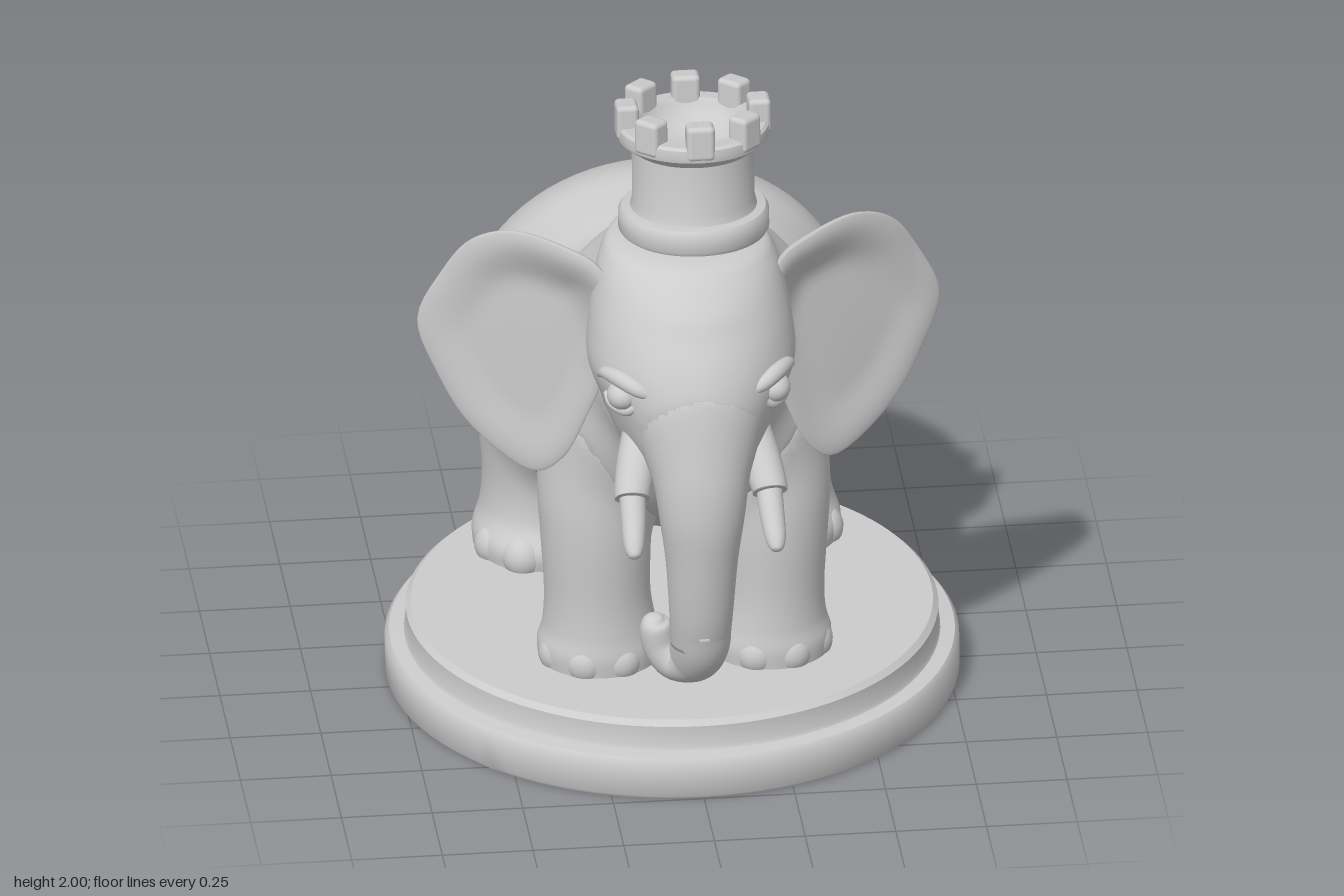
import * as THREE from 'three';
import { mergeVertices, toCreasedNormals } from 'three/addons/utils/BufferGeometryUtils.js';
import { RoundedBoxGeometry } from 'three/addons/geometries/RoundedBoxGeometry.js';

const grey = new THREE.MeshStandardMaterial({ color: 0xcccccc });
const V = (x, y, z) => new THREE.Vector3(x, y, z);
const Y = V(0, 1, 0), Z = V(0, 0, 1);

function add(parent, name, geometry, x = 0, y = 0, z = 0) {
  const m = new THREE.Mesh(geometry, grey);
  m.name = name;
  m.position.set(x, y, z);
  parent.add(m);
  return m;
}

// Smooth centre line and half sizes through rows [x, y, z, halfWidth, halfDepth]
const curves = rows => [
  new THREE.CatmullRomCurve3(rows.map(r => V(r[0], r[1], r[2])), false, 'catmullrom'),
  new THREE.CatmullRomCurve3(rows.map(r => V(r[3], r[4] ?? r[3], 0)), false, 'catmullrom'),
];

// Skin over elliptical rings; with an axis all rings stay parallel, otherwise they follow the path
function loft(rows, axis, steps = rows.length * 5, sides = 40) {
  const [path, size] = curves(rows);
  const pos = [], index = [];
  const S = V(1, 0, 0);
  for (let i = 0; i <= steps; i++) {
    const c = path.getPoint(i / steps), r = size.getPoint(i / steps);
    const T = axis || path.getTangent(i / steps);
    S.addScaledVector(T, -S.dot(T)).normalize();
    const U = T.clone().cross(S);
    for (let j = 0; j < sides; j++) {
      const a = (j / sides) * Math.PI * 2;
      const p = c.clone().addScaledVector(S, Math.cos(a) * r.x).addScaledVector(U, Math.sin(a) * r.y);
      pos.push(p.x, p.y, p.z);
      if (i < steps) {
        const a0 = i * sides + j, b0 = i * sides + (j + 1) % sides;
        index.push(a0, b0, a0 + sides, b0, b0 + sides, a0 + sides);
      }
    }
  }
  // end caps
  const first = pos.length / 3, last = steps * sides;
  pos.push(...path.getPoint(0).toArray(), ...path.getPoint(1).toArray());
  for (let j = 0; j < sides; j++) {
    const n = (j + 1) % sides;
    index.push(first, n, j, first + 1, last + j, last + n);
  }
  const g = new THREE.BufferGeometry();
  g.setAttribute('position', new THREE.Float32BufferAttribute(pos, 3));
  g.setIndex(index);
  g.computeVertexNormals();
  return g;
}

// Approximate signed distance to a loft with parallel rings
function distanceTo(rows, axis) {
  const [path, size] = curves(rows);
  const [along, across] = axis === Z ? ['z', 'y'] : ['y', 'z'];
  const n = 80, C = path.getPoints(n), R = size.getPoints(n);
  return p => {
    const s = THREE.MathUtils.clamp(p[along], C[0][along], C[n][along]);
    let i = 0;
    while (i < n - 1 && C[i + 1][along] < s) i++;
    const t = (s - C[i][along]) / (C[i + 1][along] - C[i][along]);
    const c = C[i].clone().lerp(C[i + 1], t), r = R[i].clone().lerp(R[i + 1], t);
    const u = p.x - c.x, v = p[across] - c[across], g = Math.hypot(u / r.x, v / r.y);
    const d = (g - 1) * g / (Math.hypot(u / r.x ** 2, v / r.y ** 2) + 1e-6);
    return s === p[along] ? d : Math.hypot(Math.max(d, 0), p[along] - s);
  };
}

// Fillet the joints: swell each part where it comes near another one
function blend(parts, k) {
  for (const part of parts) {
    const P = part.geometry.attributes.position, N = part.geometry.attributes.normal;
    for (let i = 0; i < P.count; i++) {
      const p = V(0, 0, 0).fromBufferAttribute(P, i);
      let push = 0;
      for (const other of parts) {
        if (other !== part) push = Math.max(push, k / 4 * Math.max(0, 1 - Math.abs(other.distance(p)) / k) ** 2);
      }
      p.addScaledVector(V(0, 0, 0).fromBufferAttribute(N, i), push);
      P.setXYZ(i, p.x, p.y, p.z);
    }
    part.geometry.computeVertexNormals();
  }
}

const lathe = (pts, sides) =>
  toCreasedNormals(new THREE.LatheGeometry(pts.map(p => new THREE.Vector2(p[0], p[1])), sides), 0.7);

// Ear: a sphere flattened into the outline, dished in front, with a rolled rim and a thick root
function earGeometry() {
  const outline = new THREE.CatmullRomCurve3([
    [.72, 1.285], [.655, 1.445], [.58, 1.56], [.47, 1.615], [.34, 1.6], [.24, 1.55], [.2, 1.4],
    [.22, 1.23], [.28, 1.05], [.34, .92], [.43, .87], [.58, .98], [.67, 1.13],
  ].map(p => V(p[0], p[1], 0)), true, 'catmullrom');
  const { clamp, smoothstep } = THREE.MathUtils;
  let g = new THREE.SphereGeometry(1, 64, 40).rotateX(Math.PI / 2);
  g.deleteAttribute('uv');
  g.deleteAttribute('normal');
  g = mergeVertices(g, 1e-4);
  const P = g.attributes.position;
  for (let i = 0; i < P.count; i++) {
    const dx = P.getX(i), dy = P.getY(i), dz = P.getZ(i);
    const r = Math.min(1, Math.hypot(dx, dy)), edge = Math.sqrt(1 - r * r);
    const o = outline.getPoint(((Math.atan2(dy, dx) / (2 * Math.PI)) + 1) % 1);
    const x = .42 + (o.x - .42) * r, y = 1.25 + (o.y - 1.25) * r;
    const root = clamp((.65 - x) / .4, 0, 1);
    const roll = (.02 + .07 * root * clamp((y - 1.2) / .3, 0, 1)) * smoothstep(r, .5, .95);
    P.setXYZ(i, x, y, .475 - .46 * (x - .25) + roll + edge * (dz >= 0 ? .02 : -.04 - .12 * root));
  }
  g.computeVertexNormals();
  return g;
}

export function createModel() {
  const model = new THREE.Group();
  model.name = 'elephantOnBase';
  const flesh = [];
  const addFlesh = (parent, name, rows, axis, steps, sides) => {
    const geometry = loft(rows, axis, steps, sides);
    add(parent, name, geometry);
    flesh.push({ geometry, distance: distanceTo(rows, axis) });
  };

  // Stepped round base, hollow underneath
  add(model, 'base', lathe([
    [0, .195], [.71, .195], [.71, .125], [.755, .1], [.755, 0], [.78, 0], [.787, .01], [.787, .105], [.775, .12],
    [.735, .125], [.73, .135], [.73, .195], [.715, .21], [0, .212],
  ], 96), 0, 0, -.035);

  // Body from rump to throat
  addFlesh(model, 'body', [
    [0, .96, -.86, .04, .07], [0, .93, -.8, .13, .18], [0, .885, -.7, .31, .3], [0, .885, -.6, .44, .385],
    [0, .9, -.48, .512, .44], [0, .905, -.35, .53, .472], [0, .89, -.2, .505, .48], [0, .9, -.05, .455, .468],
    [0, .97, .08, .422, .472], [0, 1.075, .2, .4, .485], [0, 1.13, .3, .37, .48], [0, 1.165, .4, .31, .44],
    [0, 1.19, .5, .23, .34], [0, 1.17, .6, .13, .2],
  ], Z, 90, 72);

  add(model, 'tail', loft([
    [0, 1.16, -.66, .1, .08], [0, 1.08, -.76, .1, .085], [0, .99, -.835, .078, .075], [0, .88, -.885, .052, .055],
    [0, .75, -.917, .036, .042], [0, .6, -.935, .03, .032], [0, .47, -.955, .027, .028], [0, .4, -.982, .02, .02],
    [0, .385, -.988, .006, .006],
  ]));

  // Legs with toes
  const legs = {
    front: { foot: [.235, .255, .165, .155], rows: [
      [.235, .2, .26, .165, .155], [.235, .26, .26, .17, .158], [.235, .32, .26, .155, .15], [.24, .42, .26, .146, .146],
      [.245, .6, .26, .152, .152], [.25, .75, .245, .153, .162], [.25, .95, .22, .13, .17], [.24, 1.12, .2, .08, .1]] },
    rear: { foot: [.335, -.41, .17, .2], rows: [
      [.335, .2, -.42, .168, .195], [.335, .26, -.42, .172, .198], [.33, .33, -.435, .155, .175], [.325, .43, -.435, .153, .17],
      [.32, .56, -.435, .168, .2], [.315, .7, -.425, .18, .235], [.3, .88, -.41, .175, .21], [.26, 1.05, -.4, .11, .13]] },
  };
  for (const side of [1, -1]) {
    for (const [end, { foot, rows }] of Object.entries(legs)) {
      const leg = new THREE.Group();
      leg.name = end + (side > 0 ? 'Left' : 'Right') + 'Leg';
      model.add(leg);
      addFlesh(leg, 'leg', rows.map(([x, ...rest]) => [x * side, ...rest]), Y);
      for (const a of [-1.2, -.4, .4, 1.2]) {
        add(leg, 'toe', new THREE.SphereGeometry(.06, 20, 14),
          side * foot[0] + Math.sin(a) * foot[2] * .72, .24, foot[1] + Math.cos(a) * foot[3] * .74).scale.y = 1.05;
      }
    }
  }

  // Head: skull rings from chin to crown
  const head = new THREE.Group();
  head.name = 'head';
  model.add(head);
  const mid = -.018;
  addFlesh(head, 'skull', [
    [mid, .915, .6, .05, .07], [mid, .94, .61, .11, .12], [mid, 1.0, .6, .16, .18], [mid, 1.1, .59, .215, .26],
    [mid, 1.2, .59, .252, .29], [mid, 1.3, .59, .285, .293], [mid, 1.4, .565, .28, .29], [mid, 1.5, .53, .262, .27],
    [mid, 1.57, .5, .24, .24], [mid, 1.608, .48, .205, .2], [mid, 1.625, .47, .1, .1],
  ], Y, 66, 56);

  // Trunk, curling aside at the tip
  addFlesh(head, 'trunk', [
    [mid, .52, .812, .082, .085], [mid, .63, .835, .088, .09], [mid, .8, .85, .1, .1], [mid, .95, .852, .12, .112],
    [mid, 1.1, .825, .138, .125], [mid, 1.25, .78, .145, .125], [mid, 1.37, .73, .13, .11], [mid, 1.46, .68, .09, .08],
  ], Y, 60);
  add(head, 'trunkTip', loft([
    [mid, .6, .83, .083, .086], [mid, .52, .81, .082, .083], [-.033, .46, .775, .076, .075], [-.08, .44, .745, .062, .062],
    [-.12, .48, .735, .05, .05], [-.133, .545, .74, .042, .042], [-.133, .57, .745, .015, .015],
  ]));
  blend(flesh, .1);

  // Eyes, lids, tusks and ears on both sides
  const ear = earGeometry();
  for (const side of [1, -1]) {
    const half = new THREE.Group();
    half.name = side > 0 ? 'headLeftSide' : 'headRightSide';
    half.position.x = mid;
    half.scale.x = side;
    head.add(half);
    add(half, 'eye', new THREE.SphereGeometry(.048, 24, 18), .21, 1.278, .775).scale.set(.9, .85, 1);
    add(half, 'brow', loft([
      [.14, 1.3, .84, .012], [.175, 1.318, .825, .022], [.215, 1.33, .785, .024], [.25, 1.325, .73, .018], [.265, 1.3, .69, .008],
    ]));
    add(half, 'lowerLid', loft([
      [.17, 1.265, .82, .008], [.2, 1.238, .795, .016], [.235, 1.238, .75, .014], [.25, 1.26, .72, .008],
    ]));
    add(half, 'tuskSleeve', loft([
      [.14, 1.13, .7, .06], [.17, 1.06, .765, .055], [.188, 1.0, .82, .05], [.19, .985, .835, .048],
    ]));
    add(half, 'tusk', loft([
      [.188, 1.02, .8, .036], [.19, .95, .86, .035], [.195, .89, .92, .029], [.196, .868, .948, .018], [.196, .862, .955, .005],
    ]));
    add(half, 'ear', ear);
  }

  // Crenellated tower, leaning slightly back
  const tower = new THREE.Group();
  tower.name = 'tower';
  tower.position.set(.006, 1.605, .442);
  tower.rotation.x = -.08;
  model.add(tower);
  add(tower, 'wall', lathe([
    [0, 0], [.2, 0], [.207, .012], [.207, .06], [.198, .072], [.174, .076], [.168, .1], [.168, .25], [.188, .265],
    [.207, .28], [.21, .295], [.208, .315], [.2, .322], [.16, .322], [.152, .31], [.14, .275], [.1, .25], [0, .24],
  ], 64));
  const merlon = new RoundedBoxGeometry(.078, .1, .062, 3, .014);
  for (let i = 0; i < 8; i++) {
    const a = (i / 8) * Math.PI * 2;
    add(tower, 'merlon', merlon, Math.sin(a) * .182, .335, Math.cos(a) * .182).rotation.y = a;
  }
  return model;
}
